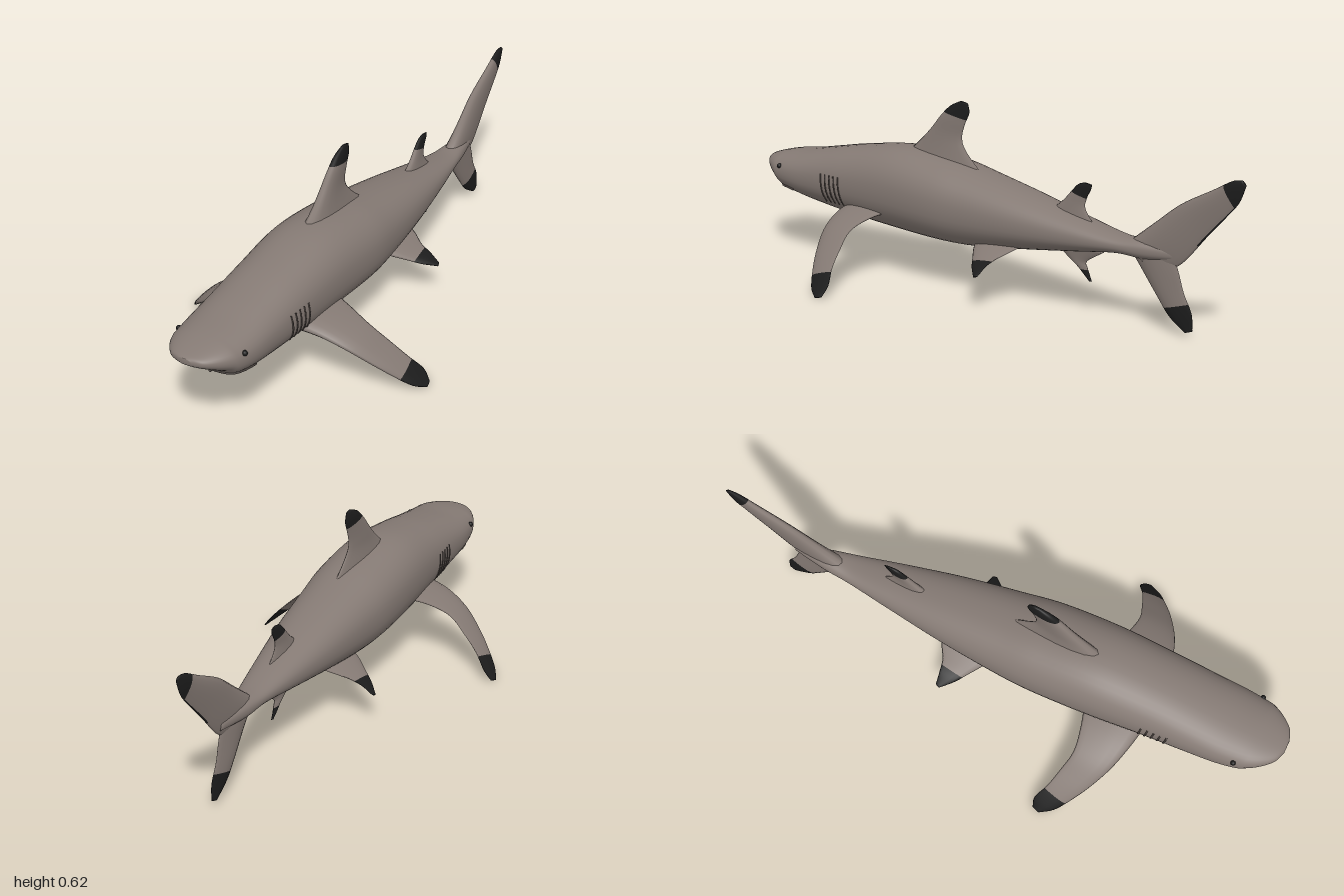
import * as THREE from 'three';

const skin = new THREE.MeshStandardMaterial({ color: 0x857a74 });
skin.name = 'greySkin';
const black = new THREE.MeshStandardMaterial({ color: 0x1c1c1c });
black.name = 'finTipBlack';
const crease = new THREE.MeshStandardMaterial({ color: 0x4f4743 });
crease.name = 'creaseBrown';

// Smooth interpolation between rows of numbers, t from 0 to 1
function sample(rows, t) {
  const n = rows.length - 1;
  const i = Math.min(Math.floor(t * n), n - 1);
  const f = t * n - i;
  const b = rows[i], c = rows[i + 1];
  const a = rows[i - 1] || b.map((v, k) => 2 * v - c[k]);
  const d = rows[i + 2] || c.map((v, k) => 2 * v - b[k]);
  return b.map((v, k) => v + 0.5 * f * (c[k] - a[k]
    + f * (2 * a[k] - 5 * v + 4 * c[k] - d[k] + f * (3 * (v - c[k]) + d[k] - a[k]))));
}

// Closed skin over rings of points; isDark(t, j) picks the black faces
function loft(rings, isDark = () => false) {
  const m = rings[0].length, last = rings.length - 1;
  const pts = rings.flat();
  const light = [], dark = [];
  const put = (i, j, ...tri) => (isDark(i / last, j) ? dark : light).push(tri);
  for (let i = 0; i < last; i++) {
    for (let j = 0; j < m; j++) {
      const a = i * m + j, b = i * m + (j + 1) % m;
      put(i, j, a, b, a + m);
      put(i, j, b, b + m, a + m);
    }
  }
  for (const i of [0, last]) {
    const centre = rings[i].reduce((s, p) => s.add(p), new THREE.Vector3()).divideScalar(m);
    pts.push(centre);
    for (let j = 0; j < m; j++) {
      const a = i * m + j, b = i * m + (j + 1) % m, c = pts.length - 1;
      if (i === 0) put(i, j, b, a, c);
      else put(i, j, a, b, c);
    }
  }
  // Turn the faces outward
  const tris = [...light, ...dark];
  const mid = pts[pts.length - 1];
  const volume = tris.reduce((s, [a, b, c]) => s + pts[a].clone().sub(mid)
    .dot(pts[b].clone().sub(mid).cross(pts[c].clone().sub(mid))), 0);
  if (volume < 0) tris.forEach((q) => q.reverse());
  const g = new THREE.BufferGeometry().setFromPoints(pts);
  g.setIndex(tris.flat());
  g.addGroup(0, light.length * 3, 0);
  g.addGroup(light.length * 3, dark.length * 3, 1);
  g.computeVertexNormals();
  return g;
}

// Fin rows: leading point xyz, trailing point xyz, thickness
function fin(name, rows, tipStart, darkEdge = false, steps = 30) {
  const m = 16;
  const rings = [];
  const middle = (t) => {
    const r = sample(rows, t);
    return new THREE.Vector3(r[0] + r[3], r[1] + r[4], r[2] + r[5]);
  };
  for (let i = 0; i <= steps; i++) {
    const t = i / steps;
    const r = sample(rows, t);
    const lead = new THREE.Vector3(r[0], r[1], r[2]);
    const trail = new THREE.Vector3(r[3], r[4], r[5]);
    const span = middle(Math.min(1, t + 0.02)).sub(middle(Math.max(0, t - 0.02)));
    const n = trail.clone().sub(lead).cross(span).normalize();
    rings.push(Array.from({ length: m }, (_, j) => {
      const a = (j / m) * Math.PI * 2;
      const w = r[6] * 0.5 * Math.sin(a) * (0.75 + 0.35 * Math.cos(a));
      return lead.clone().lerp(trail, (1 - Math.cos(a)) / 2).addScaledVector(n, w);
    }));
  }
  const edge = (t, j) => darkEdge && t > 0.3 && (j === m / 2 || j === m / 2 - 1);
  const mesh = new THREE.Mesh(loft(rings, (t, j) => t >= tipStart || edge(t, j)), [skin, black]);
  mesh.name = name;
  return mesh;
}

// Upright fin rows: x, leading z y, trailing z y, thickness
const upright = (rows) => rows.map(([x, lz, ly, tz, ty, w]) => [x, ly, lz, x, ty, tz, w]);

// Body rows: z, centre x, half width, top, bottom
const bodyRows = [
  [1.0, 0.018, 0.022, 0.328, 0.308], [0.985, 0.018, 0.06, 0.335, 0.297],
  [0.95, 0.018, 0.093, 0.345, 0.275], [0.91, 0.018, 0.116, 0.354, 0.25],
  [0.875, 0.017, 0.126, 0.36, 0.222], [0.8, 0.015, 0.135, 0.371, 0.204],
  [0.7, 0.012, 0.139, 0.391, 0.188], [0.55, 0.008, 0.145, 0.42, 0.171],
  [0.35, 0.0, 0.154, 0.445, 0.157], [0.15, -0.005, 0.154, 0.427, 0.15],
  [0.0, -0.01, 0.14, 0.4, 0.155], [-0.2, -0.016, 0.115, 0.36, 0.18],
  [-0.4, -0.023, 0.081, 0.316, 0.208], [-0.55, -0.03, 0.053, 0.287, 0.229],
  [-0.65, -0.037, 0.036, 0.285, 0.225], [-0.77, -0.044, 0.01, 0.27, 0.24],
];
const ROUND = 0.88;
const bend = (v) => Math.sign(v) * Math.abs(v) ** ROUND;

// Body row at a given z, and the skin point at that z and height
function rowAt(z) {
  let lo = 0, hi = 1;
  for (let k = 0; k < 30; k++) {
    const mid = (lo + hi) / 2;
    if (sample(bodyRows, mid)[0] > z) lo = mid;
    else hi = mid;
  }
  return sample(bodyRows, lo);
}
function onSkin(z, y, side) {
  const [, cx, w, top, low] = rowAt(z);
  const v = THREE.MathUtils.clamp((2 * y - top - low) / (top - low), -1, 1);
  const c = Math.sqrt(1 - Math.abs(v) ** (2 / ROUND));
  return new THREE.Vector3(cx + side * w * bend(c), (top + low) / 2 + v * (top - low) / 2, z);
}

export function createModel() {
  const model = new THREE.Group();
  model.name = 'shark';
  const add = (name, geometry, material) => {
    const mesh = new THREE.Mesh(geometry, material);
    mesh.name = name;
    model.add(mesh);
    return mesh;
  };

  // Body and head
  const rings = [];
  for (let i = 0; i <= 120; i++) {
    const [z, cx, w, top, low] = sample(bodyRows, i / 120);
    rings.push(Array.from({ length: 40 }, (_, j) => {
      const a = (j / 40) * Math.PI * 2;
      return new THREE.Vector3(cx + w * bend(Math.cos(a)),
        (top + low) / 2 + (top - low) / 2 * bend(Math.sin(a)), z);
    }));
  }
  add('body', loft(rings), skin);

  // Fins along the midline
  model.add(fin('dorsalFin', upright([
    [-0.004, 0.37, 0.415, 0.0, 0.38, 0.075], [-0.005, 0.3, 0.472, 0.085, 0.455, 0.052],
    [-0.007, 0.25, 0.52, 0.11, 0.5, 0.042], [-0.008, 0.205, 0.57, 0.098, 0.55, 0.035],
    [-0.01, 0.165, 0.605, 0.08, 0.59, 0.026], [-0.01, 0.12, 0.626, 0.085, 0.622, 0.012]]), 0.64));
  model.add(fin('secondDorsalFin', upright([
    [-0.023, -0.26, 0.315, -0.45, 0.295, 0.04], [-0.024, -0.315, 0.358, -0.41, 0.345, 0.028],
    [-0.026, -0.35, 0.395, -0.412, 0.378, 0.022], [-0.027, -0.375, 0.42, -0.428, 0.41, 0.016],
    [-0.028, -0.4, 0.43, -0.432, 0.427, 0.008]]), 0.5));
  model.add(fin('analFin', upright([
    [-0.023, -0.29, 0.215, -0.49, 0.218, 0.035], [-0.024, -0.345, 0.176, -0.42, 0.176, 0.025],
    [-0.025, -0.38, 0.153, -0.422, 0.152, 0.018], [-0.026, -0.405, 0.13, -0.43, 0.13, 0.012],
    [-0.026, -0.428, 0.11, -0.438, 0.112, 0.007]]), 0.55));

  // Tail
  model.add(fin('upperTailLobe', upright([
    [-0.036, -0.585, 0.275, -0.66, 0.2, 0.065], [-0.04, -0.68, 0.35, -0.765, 0.222, 0.052],
    [-0.045, -0.77, 0.42, -0.87, 0.335, 0.04], [-0.048, -0.88, 0.48, -0.94, 0.412, 0.03],
    [-0.05, -0.95, 0.519, -0.978, 0.458, 0.022], [-0.051, -0.985, 0.526, -1.0, 0.512, 0.009]]), 0.7, true));
  model.add(fin('lowerTailLobe', upright([
    [-0.038, -0.59, 0.24, -0.73, 0.3, 0.055], [-0.039, -0.64, 0.175, -0.767, 0.21, 0.04],
    [-0.041, -0.69, 0.11, -0.79, 0.14, 0.032], [-0.042, -0.735, 0.055, -0.82, 0.08, 0.022],
    [-0.043, -0.795, 0.014, -0.824, 0.024, 0.01]]), 0.62));

  // Paired fins and head details
  const flip = (rows, s, cx) => rows.map(([a, b, c, d, ...rest]) => [cx + s * a, b, c, cx + s * d, ...rest]);
  const pectoral = [
    [0.09, 0.218, 0.555, 0.09, 0.235, 0.335, 0.06], [0.18, 0.2, 0.535, 0.18, 0.218, 0.362, 0.042],
    [0.26, 0.163, 0.508, 0.26, 0.187, 0.375, 0.034], [0.335, 0.108, 0.466, 0.325, 0.138, 0.358, 0.027],
    [0.39, 0.06, 0.425, 0.38, 0.09, 0.338, 0.021], [0.43, 0.024, 0.388, 0.422, 0.045, 0.313, 0.014],
    [0.455, 0.003, 0.345, 0.448, 0.01, 0.318, 0.007]];
  const pelvic = [
    [0.05, 0.19, 0.0, 0.05, 0.2, -0.205, 0.04], [0.1, 0.172, -0.025, 0.1, 0.182, -0.185, 0.028],
    [0.148, 0.15, -0.063, 0.14, 0.163, -0.162, 0.02], [0.185, 0.132, -0.094, 0.18, 0.146, -0.154, 0.014],
    [0.222, 0.115, -0.135, 0.217, 0.12, -0.15, 0.007]];
  for (const [side, s] of [['left', 1], ['right', -1]]) {
    model.add(fin(side + 'PectoralFin', flip(pectoral, s, 0), 0.68));
    model.add(fin(side + 'PelvicFin', flip(pelvic, s, -0.018), 0.6));
    // Gill slits
    for (let k = 0; k < 5; k++) {
      const z = 0.64 - k * 0.022;
      const line = [0.325, 0.29, 0.255, 0.225].map((y, i) => onSkin(z - 0.004 * i, y, s));
      add(side + 'GillSlit', new THREE.TubeGeometry(new THREE.CatmullRomCurve3(line), 10, 0.003, 6), crease);
    }
    const dot = (name, z, y, r, material) => add(name, new THREE.SphereGeometry(r, 14, 10), material)
      .position.copy(onSkin(z, y, s));
    dot(side + 'Eye', 0.865, 0.315, 0.009, black);
    dot(side + 'Nostril', 0.955, 0.285, 0.006, crease);
  }

  // Mouth line under the snout
  const half = (s) => [[0.8, 0.236], [0.83, 0.242], [0.86, 0.243], [0.885, 0.241]]
    .map(([z, y]) => onSkin(z, y, s));
  const mouth = [...half(-1), onSkin(0.9, 0.235, 0), ...half(1).reverse()];
  add('mouth', new THREE.TubeGeometry(new THREE.CatmullRomCurve3(mouth), 48, 0.005, 8), crease);

  return model;
}
